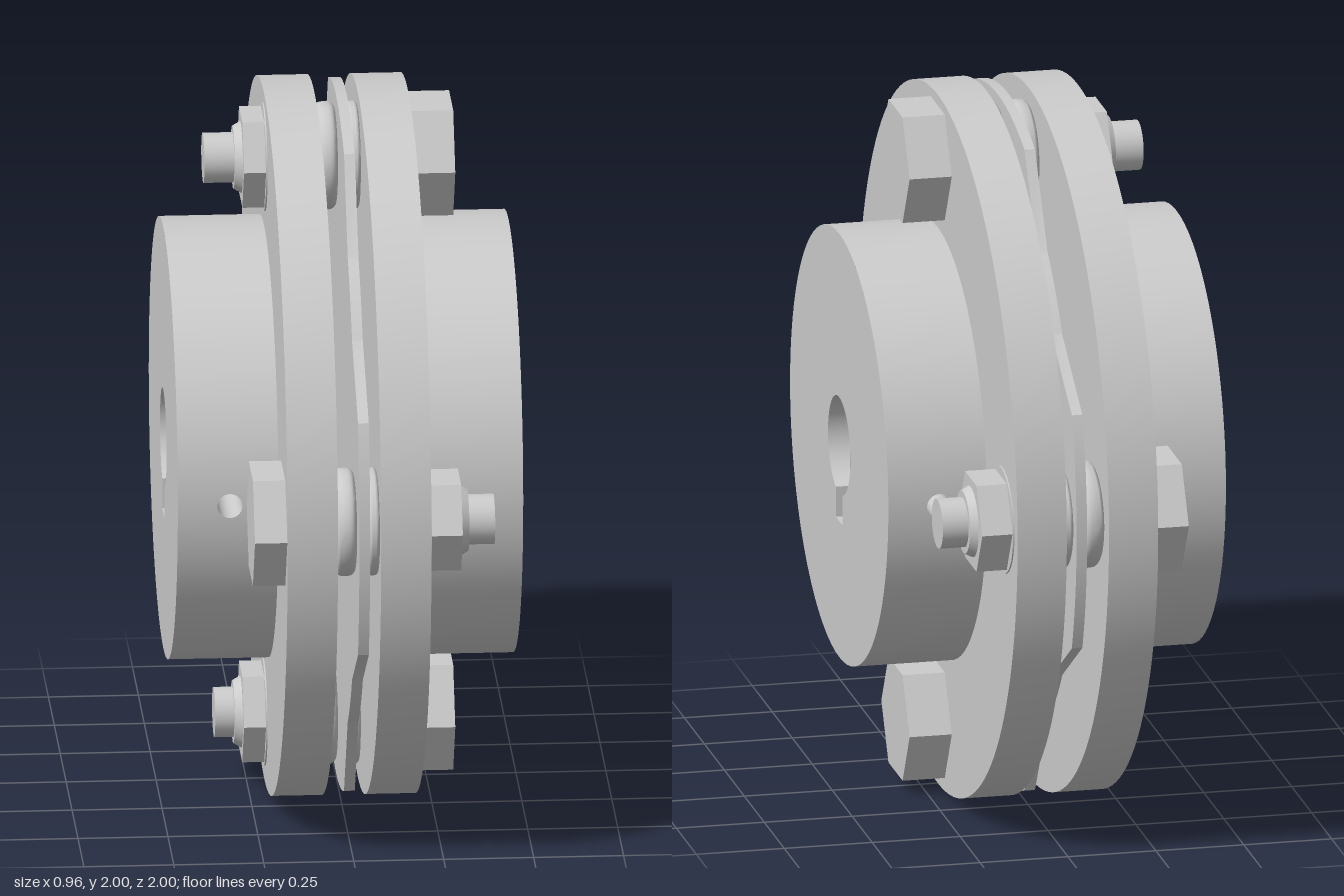
import * as THREE from 'three';
import { toCreasedNormals } from 'three/addons/utils/BufferGeometryUtils.js';

const PI = Math.PI;
const smooth = new THREE.MeshStandardMaterial({ color: 0xcccccc, side: THREE.DoubleSide });
const flat = new THREE.MeshStandardMaterial({ color: 0xcccccc, side: THREE.DoubleSide, flatShading: true });

// Everything is built along local z; the whole group is turned to lie along x.
const BORE = 0.14, KEY_W = 0.043, KEY_D = 0.22, HUB = 0.615;
const FACE_IN = 0.06, FACE_OUT = 0.2, HUB_END = 0.48;
const SCREW_Z = 0.335, SCREW_R = 0.035;
const keyAngle = Math.asin(KEY_W / BORE);

function add(parent, name, geometry, material = smooth) {
  const mesh = new THREE.Mesh(geometry, material);
  mesh.name = name;
  parent.add(mesh);
  return mesh;
}

// cylinder along z from z0 to z1, radii r0 and r1
function rod(r0, r1, z0, z1, sides = 32, open = false, start = 0, sweep = 2 * PI) {
  return new THREE.CylinderGeometry(r1, r0, z1 - z0, sides, 1, open, start, sweep)
    .rotateX(PI / 2).translate(0, 0, (z0 + z1) / 2);
}

function circle(r) {
  return new THREE.Shape().absarc(0, 0, r, 0, 2 * PI, false);
}

// round bore with a keyway at the bottom
function keyedBore() {
  const p = new THREE.Path();
  p.absarc(0, 0, BORE, -PI / 2 + keyAngle, 1.5 * PI - keyAngle, false);
  p.lineTo(-KEY_W, -KEY_D);
  p.lineTo(KEY_W, -KEY_D);
  p.closePath();
  return p;
}

// rectangle with a set screw hole in it
function drilledPlate(halfWidth) {
  const s = new THREE.Shape();
  s.moveTo(-halfWidth, FACE_OUT);
  s.lineTo(halfWidth, FACE_OUT);
  s.lineTo(halfWidth, HUB_END);
  s.lineTo(-halfWidth, HUB_END);
  s.holes.push(new THREE.Path().absarc(0, SCREW_Z, SCREW_R, 0, 2 * PI, true));
  return new THREE.ShapeGeometry(s, 12);
}

// drilled plate bent onto a cylinder of radius r around angle a
function bentPlate(r, a, halfAngle) {
  const g = drilledPlate(r * halfAngle), p = g.attributes.position, n = g.attributes.normal;
  for (let i = 0; i < p.count; i++) {
    const t = a + p.getX(i) / r, c = Math.cos(t), s = Math.sin(t);
    p.setXYZ(i, r * c, r * s, p.getY(i));
    n.setXYZ(i, c, s, 0);
  }
  return g;
}

// cylinder wall between two angles
function arcWall(r, a0, a1) {
  const sides = Math.ceil((a1 - a0) * 12);
  return rod(r, r, FACE_OUT, HUB_END, sides, true, a0 + PI / 2, a1 - a0);
}

function makeHalf(name) {
  const half = new THREE.Group();
  half.name = name;

  const flangeShape = circle(1);
  flangeShape.holes.push(keyedBore());
  const flange = new THREE.ExtrudeGeometry(flangeShape,
    { depth: FACE_OUT - FACE_IN, bevelEnabled: false, curveSegments: 64 }).translate(0, 0, FACE_IN);
  add(half, 'flange', toCreasedNormals(flange, 0.5));

  const endShape = circle(HUB);
  endShape.holes.push(keyedBore());
  add(half, 'hubEndFace', new THREE.ShapeGeometry(endShape, 40).translate(0, 0, HUB_END));

  // hub outside, drilled at the side and the bottom
  const h = 0.08;
  add(half, 'hubWall', arcWall(HUB, h, 1.5 * PI - h));
  add(half, 'hubWall', arcWall(HUB, -PI / 2 + h, -h));
  for (const a of [0, -PI / 2]) add(half, 'hubDrilledWall', bentPlate(HUB, a, h));

  // bore and keyway
  const b = 0.3;
  add(half, 'boreWall', arcWall(BORE, b, 1.5 * PI - keyAngle));
  add(half, 'boreWall', arcWall(BORE, -PI / 2 + keyAngle, -b));
  add(half, 'boreDrilledWall', bentPlate(BORE, 0, b));
  add(half, 'keywayFloor', drilledPlate(KEY_W).rotateX(PI / 2).translate(0, -KEY_D, 0));
  const top = -BORE * Math.cos(keyAngle);
  for (const s of [-1, 1]) {
    const side = new THREE.PlaneGeometry(HUB_END - FACE_OUT, top + KEY_D).rotateY(-s * PI / 2);
    add(half, 'keywaySide', side.translate(s * KEY_W, (top - KEY_D) / 2, (FACE_OUT + HUB_END) / 2));
  }

  // set screw holes
  const hole = (from) => new THREE.CylinderGeometry(SCREW_R, SCREW_R, HUB - from, 24, 1, true)
    .translate(0, -(HUB + from) / 2, SCREW_Z);
  add(half, 'bottomScrewHole', hole(KEY_D));
  add(half, 'sideScrewHole', hole(BORE).rotateZ(PI / 2));
  return half;
}

// bolt with its head on +z and its nut on -z
function makeBolt(headHeight, nutHeight, tip) {
  const bolt = new THREE.Group();
  bolt.name = 'bolt';
  const o = FACE_OUT, nutEnd = -o - nutHeight;
  add(bolt, 'boltHead', rod(0.177, 0.177, o, o + headHeight, 6, false, PI / 6), flat);
  add(bolt, 'nut', rod(0.144, 0.144, nutEnd, -o, 6, false, PI / 6), flat);
  add(bolt, 'nutSeat', rod(0.152, 0.152, -o - 0.004, -o));
  add(bolt, 'nutCollar', rod(0.088, 0.1, nutEnd - 0.022, nutEnd));
  add(bolt, 'boltShank', rod(0.07, 0.07, -tip, o));
  return bolt;
}

// round-edged spacer between z0 and z1
function spacer(z0, z1) {
  const r = 0.15, e = (z1 - z0) * 0.35, pts = [new THREE.Vector2(0, z0)];
  for (let i = 0; i <= 4; i++) {
    const t = -PI / 2 + i * PI / 8;
    pts.push(new THREE.Vector2(r - e + e * Math.cos(t), z0 + e + e * Math.sin(t)));
  }
  for (let i = 0; i <= 4; i++) {
    const t = i * PI / 8;
    pts.push(new THREE.Vector2(r - e + e * Math.cos(t), z1 - e + e * Math.sin(t)));
  }
  pts.push(new THREE.Vector2(0, z1));
  return toCreasedNormals(new THREE.LatheGeometry(pts, 40).rotateX(PI / 2), 0.6);
}

// flexible disc: wide at the four bolts, waisted between them
function discGeometry() {
  const s = new THREE.Shape(), d = PI / 180;
  for (let i = 0; i < 4; i++) {
    const a = i * PI / 2;
    s.absarc(0, 0, 0.99, a - 20 * d, a + 20 * d, false);
    s.absarc(0, 0, 0.84, a + 36 * d, a + 54 * d, false);
  }
  const g = new THREE.ExtrudeGeometry(s, { depth: 0.03, bevelEnabled: false, curveSegments: 16 });
  return toCreasedNormals(g, 0.4);
}

export function createModel() {
  const model = new THREE.Group();
  model.name = 'flexibleDiscCoupling';
  const body = new THREE.Group();
  body.name = 'couplingBody';
  body.rotation.y = PI / 2;
  body.position.y = 1;
  model.add(body);

  // two equal halves facing each other
  const right = makeHalf('leftHalf'), other = makeHalf('rightHalf');
  other.rotation.y = PI;
  body.add(right, other);
  add(body, 'flexibleDisc', discGeometry());

  // four bolts, alternately reversed: x, y, head, nut, tip, reversed
  const bolts = [
    [0, 0.815, 0.12, 0.065, 0.37, false],
    [0, -0.805, 0.12, 0.065, 0.34, false],
    [0.81, 0.012, 0.09, 0.09, 0.385, true],
    [-0.81, 0.012, 0.09, 0.09, 0.385, true],
  ];
  for (const [x, y, head, nut, tip, reversed] of bolts) {
    const bolt = makeBolt(head, nut, tip);
    bolt.position.set(x, y, 0);
    if (reversed) bolt.rotation.y = PI;
    body.add(bolt);
    add(body, 'spacer', spacer(-FACE_IN, -0.003)).position.set(x, y, 0);
    add(body, 'spacer', spacer(0.03, FACE_IN)).position.set(x, y, 0);
  }
  return model;
}
